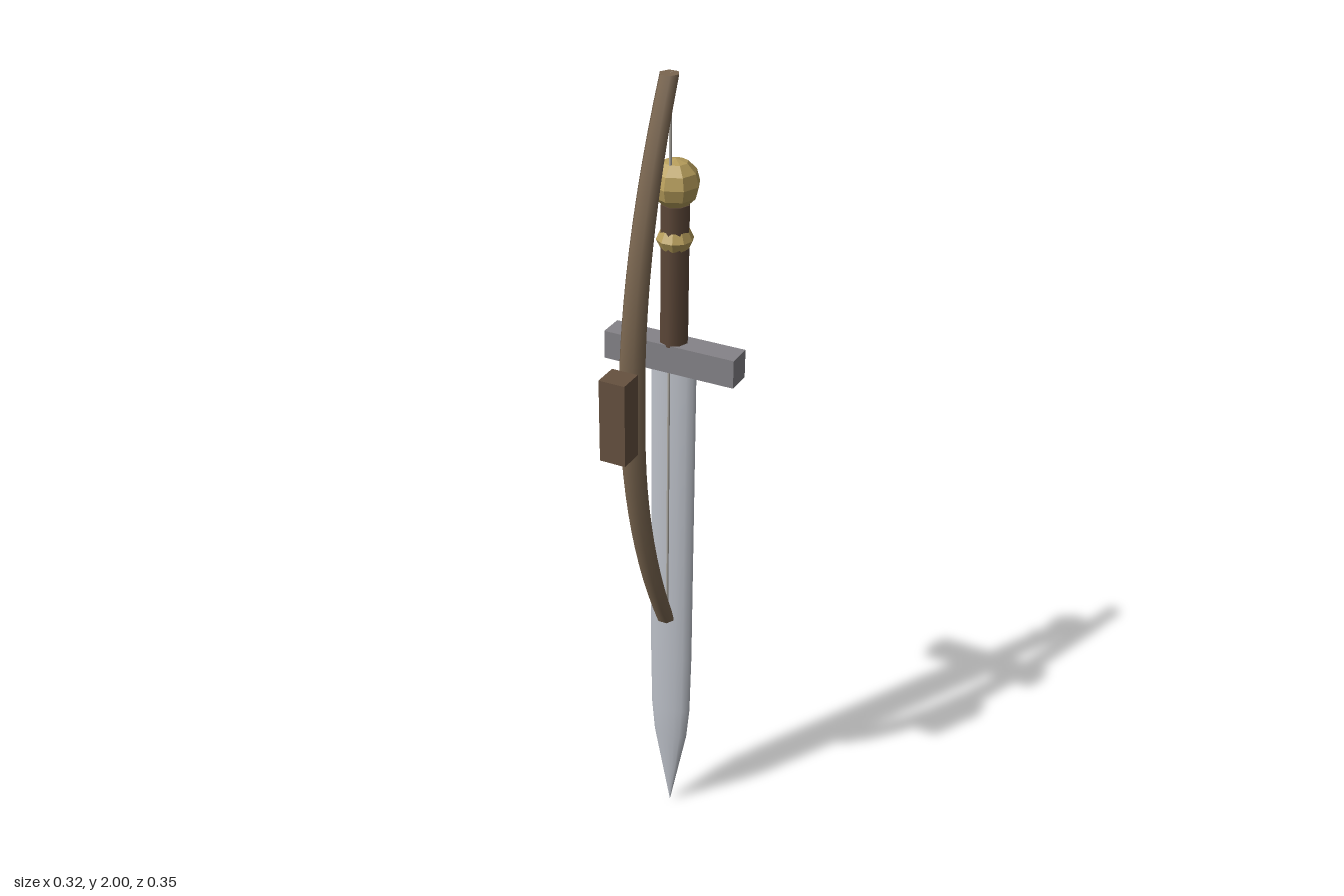
import * as THREE from 'three';

const COLORS = { steel: 0xbcc0c8, guard: 0x858388, gold: 0xb89f5c, leather: 0x5c4738, bow: 0x7a6650, block: 0x66513f, string: 0xb0aca4 };

function part(name, geometry, color, x = 0, y = 0, z = 0, flat = false) {
  const mesh = new THREE.Mesh(geometry, new THREE.MeshStandardMaterial({ color, flatShading: flat }));
  mesh.name = name;
  mesh.position.set(x, y, z);
  return mesh;
}

// Limb stave: hexagonal column, thinner at the tips, sheared into a parabola
function bowGeometry(length, midRadius, tipRadius, depth) {
  const half = length / 2;
  const geo = new THREE.CylinderGeometry(1, 1, length, 6, 24, false, Math.PI / 2);
  const pos = geo.attributes.position, nor = geo.attributes.normal;
  const n = new THREE.Vector3();
  for (let i = 0; i < pos.count; i++) {
    const t = pos.getY(i) / half;
    const r = THREE.MathUtils.lerp(midRadius, tipRadius, Math.abs(t));
    pos.setX(i, pos.getX(i) * r);
    pos.setZ(i, pos.getZ(i) * r - depth * t * t);
    // Shear the normals to follow the curve, leaving the end caps flat
    n.fromBufferAttribute(nor, i);
    if (Math.abs(n.y) < 0.5) {
      n.y += (2 * depth * t / half) * n.z;
      n.normalize();
      nor.setXYZ(i, n.x, n.y, n.z);
    }
  }
  return geo;
}

// Blade: pointed profile turned round and flattened front to back
function bladeGeometry() {
  const profile = [[0, 0], [0.023, 0.12], [0.046, 0.24], [0.054, 0.33], [0.057, 0.5], [0.057, 1.33], [0, 1.33]];
  const geo = new THREE.LatheGeometry(profile.map(([r, y]) => new THREE.Vector2(r, y)), 16);
  return geo.scale(1, 1, 0.42);
}

export function createModel() {
  const model = new THREE.Group();

  // Sword, point down
  const sword = new THREE.Group();
  sword.name = 'sword';
  sword.position.z = -0.12;
  sword.add(
    part('blade', bladeGeometry(), COLORS.steel),
    part('crossguard', new THREE.BoxGeometry(0.324, 0.068, 0.062), COLORS.guard, 0, 1.35),
    part('swordGrip', new THREE.CylinderGeometry(0.033, 0.033, 0.33, 8), COLORS.leather, 0, 1.545),
    part('gripCollar', new THREE.TorusGeometry(0.022, 0.02, 6, 10).rotateX(Math.PI / 2).scale(1, 1.2, 1), COLORS.gold, 0, 1.63, 0, true),
    part('pommel', new THREE.SphereGeometry(0.055, 8, 6), COLORS.gold, 0, 1.755, 0, true)
  );

  // Bow, curving forward of the sword
  const bow = new THREE.Group();
  bow.name = 'bow';
  bow.position.y = 1.315;
  bow.add(
    part('bowStave', bowGeometry(1.37, 0.033, 0.022, 0.17), COLORS.bow, 0, 0, 0.082),
    part('bowString', new THREE.CylinderGeometry(0.003, 0.003, 1.37, 6), COLORS.string, 0, 0, -0.095),
    part('gripBlock', new THREE.BoxGeometry(0.062, 0.196, 0.06), COLORS.block, 0, 0, 0.143)
  );

  model.add(sword, bow);
  return model;
}
